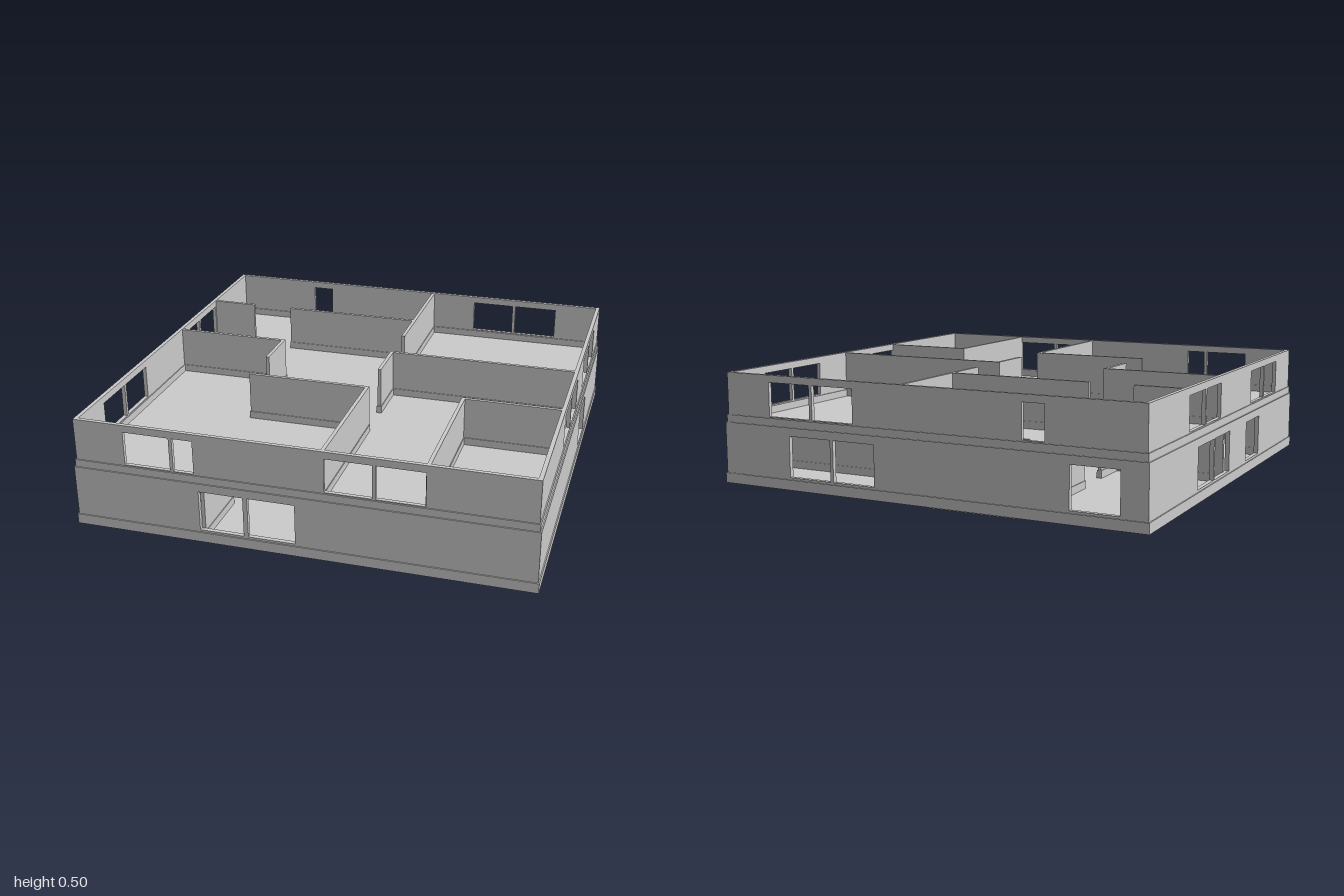
import * as THREE from 'three';

const material = new THREE.MeshStandardMaterial({ color: 0xcccccc, flatShading: true });

function addMesh(parent, geometry, name) {
  const mesh = new THREE.Mesh(geometry, material);
  mesh.name = name;
  parent.add(mesh);
  return mesh;
}

function rectangle(x0, x1, y0, y1, Type = THREE.Shape) {
  const r = new Type();
  r.moveTo(x0, y0);
  r.lineTo(x1, y0);
  r.lineTo(x1, y1);
  r.lineTo(x0, y1);
  r.closePath();
  return r;
}

const extrude = (shape, depth) => new THREE.ExtrudeGeometry(shape, { depth, bevelEnabled: false });

// Horizontal plate with an optional rectangular hole [x0, x1, z0, z1]
function plate(parent, name, half, y0, y1, hole) {
  const shape = rectangle(-half, half, -half, half);
  if (hole) shape.holes.push(rectangle(...hole, THREE.Path));
  const g = extrude(shape, y1 - y0).rotateX(Math.PI / 2).translate(0, y1, 0);
  return addMesh(parent, g, name);
}

// Four outside walls with window openings, plus a skirting ring at the foot
function outerWalls(parent, s) {
  const inner = s.half - s.thick;
  for (const [side, panes] of Object.entries(s.windows)) {
    const alongX = side === 'front' || side === 'back';
    const positive = side === 'front' || side === 'right';
    const reach = alongX ? s.half : inner;
    const shape = rectangle(-reach, reach, s.y0, s.y1);
    for (const [a, b] of panes) shape.holes.push(rectangle(a, b, s.sill, s.head, THREE.Path));
    const g = extrude(shape, s.thick);
    if (alongX) g.translate(0, 0, positive ? inner : -s.half);
    else g.rotateY(-Math.PI / 2).translate(positive ? s.half : -inner, 0, 0);
    addMesh(parent, g, side + 'Wall');
  }
  const h = inner - 0.005;
  plate(parent, 'outerSkirting', s.half + 0.005, s.y0, s.skirt, [-h, h, -h, h]);
}

// Inside walls [x0, z0, x1, z1] along their centre lines, each with a skirting
function innerWalls(parent, walls, y0, y1, skirt) {
  for (const [x0, z0, x1, z1] of walls) {
    const box = (t, top, name) => {
      const g = new THREE.BoxGeometry(Math.abs(x1 - x0) + t, top - y0, Math.abs(z1 - z0) + t);
      addMesh(parent, g, name).position.set((x0 + x1) / 2, (y0 + top) / 2, (z0 + z1) / 2);
    };
    box(0.016, y1, 'innerWall');
    box(0.023, skirt, 'innerSkirting');
  }
}

export function createModel() {
  const model = new THREE.Group();
  const lower = new THREE.Group();
  lower.name = 'lowerStorey';
  const upper = new THREE.Group();
  upper.name = 'upperStorey';
  model.add(lower, upper);

  // Lower storey
  plate(lower, 'groundFloor', 0.985, 0.012, 0.02);
  outerWalls(lower, {
    half: 0.995, thick: 0.02, y0: 0.01, y1: 0.27, sill: 0.065, head: 0.245, skirt: 0.055,
    windows: {
      front: [[-0.43, -0.235], [-0.215, -0.01]],
      back: [[0.22, 0.425], [0.44, 0.65], [-0.88, -0.67]],
      right: [[-0.43, -0.23]],
      left: [[-0.44, -0.235], [-0.22, -0.02], [0.23, 0.43]],
    },
  });
  innerWalls(lower, [
    [0.43, -0.64, 0.97, -0.64], [0.43, -0.64, 0.43, -0.45],
    [-0.18, 0.03, 0.97, 0.03], [0.21, 0.03, 0.21, 0.65],
    [0.65, 0.44, 0.97, 0.44], [0.2, 0.85, 0.2, 0.97],
    [-0.42, 0.68, -0.42, 0.97], [-0.69, 0.68, -0.42, 0.68],
    [-0.97, 0.62, -0.85, 0.62], [-0.97, -0.05, -0.75, -0.05],
    [-0.46, -0.21, -0.46, -0.03], [-0.55, -0.03, -0.46, -0.03],
    [-0.48, -0.68, -0.48, -0.45],
  ], 0.01, 0.27, 0.055);

  // Solid staircase falling towards +x
  const steps = 10, run = 0.041, rise = 0.027;
  const profile = new THREE.Shape();
  profile.moveTo(-0.43, 0);
  profile.lineTo(-0.43 + steps * run, 0);
  for (let i = steps - 1; i >= 0; i--) {
    const y = 0.27 - i * rise;
    profile.lineTo(-0.43 + (i + 1) * run, y);
    profile.lineTo(-0.43 + i * run, y);
  }
  addMesh(lower, extrude(profile, 0.205).translate(0, 0, -0.975), 'staircase');

  // Upper storey, its floor open above the stairs
  plate(upper, 'upperFloor', 0.995, 0.27, 0.282, [-0.395, 0.095, -0.965, -0.77]);
  outerWalls(upper, {
    half: 0.985, thick: 0.018, y0: 0.28, y1: 0.502, sill: 0.32, head: 0.47, skirt: 0.315,
    windows: {
      front: [[-0.76, -0.555], [-0.54, -0.45], [0.115, 0.315], [0.33, 0.535]],
      back: [[0.33, 0.535], [0.55, 0.76], [-0.56, -0.46]],
      right: [[-0.1, 0.1], [0.11, 0.32], [-0.54, -0.335], [-0.75, -0.555]],
      left: [[-0.53, -0.33], [-0.315, -0.125], [0.32, 0.525], [0.54, 0.74]],
    },
  });
  innerWalls(upper, [
    [-0.97, -0.545, -0.76, -0.545], [-0.545, -0.545, 0.105, -0.545],
    [0.105, -0.97, 0.105, -0.33], [-0.97, -0.11, -0.44, -0.11],
    [-0.44, -0.11, -0.44, 0.105], [0.105, -0.11, 0.97, -0.11],
    [0.105, -0.11, 0.105, 0.105], [-0.44, 0.32, 0.105, 0.32],
    [0.105, 0.32, 0.105, 0.97], [0.54, 0.32, 0.97, 0.32],
    [0.54, 0.32, 0.54, 0.97],
  ], 0.28, 0.5, 0.315);

  return model;
}
